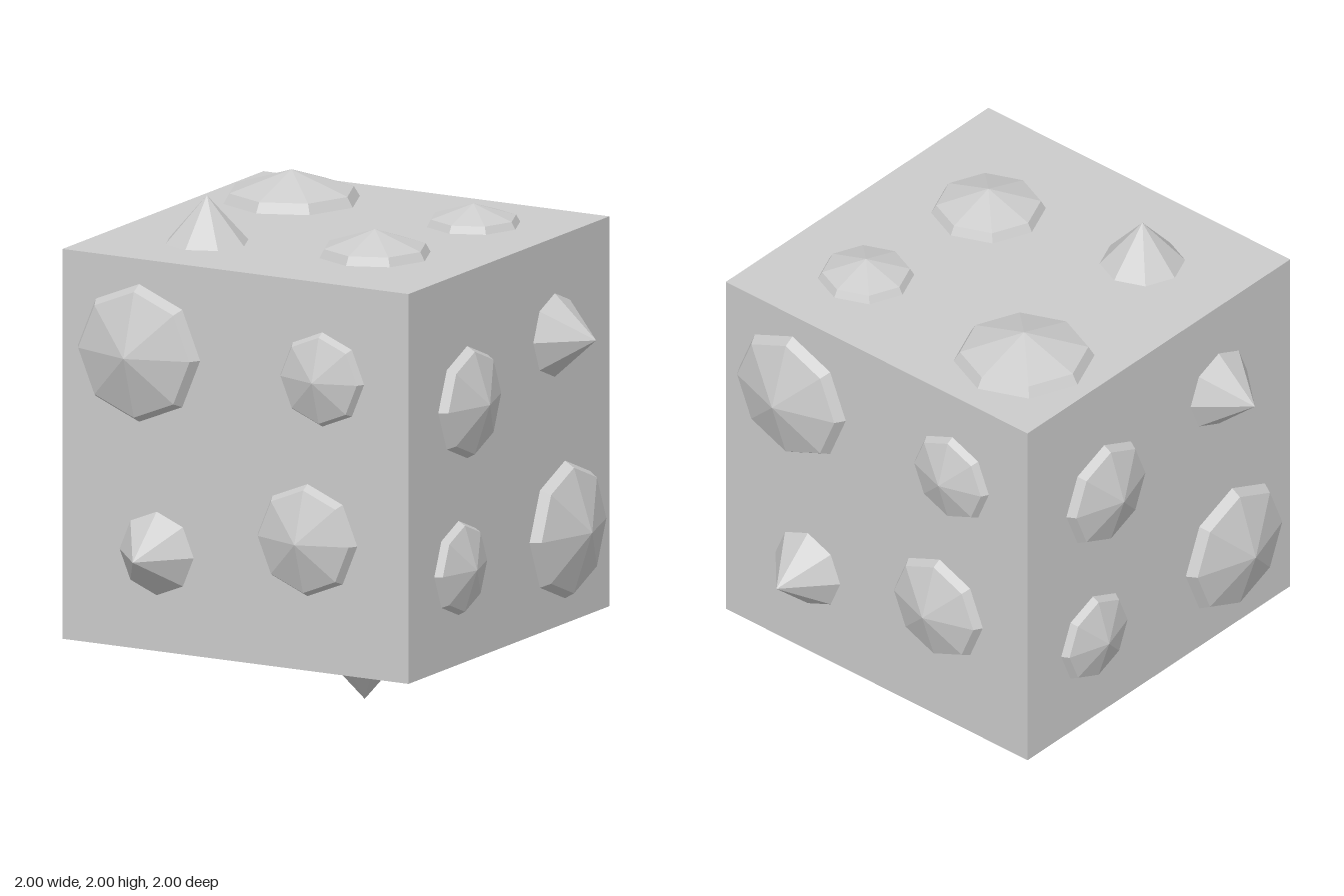
import * as THREE from 'three';

const HALF = 0.807, MID_Y = 1.003;

// Eight-sided stud, given by a (radius, height) profile, rising along +z
function studGeometry(profile) {
  const points = profile.map(([r, h]) => new THREE.Vector2(r, h));
  return new THREE.LatheGeometry(points, 8).rotateX(Math.PI / 2);
}

export function createModel() {
  const material = new THREE.MeshStandardMaterial({ color: 0xcccccc, flatShading: true });
  const model = new THREE.Group();
  model.name = 'studdedCube';

  const cube = new THREE.Mesh(new THREE.BoxGeometry(2 * HALF, 2 * HALF, 2 * HALF), material);
  cube.name = 'cubeBody';
  cube.position.y = MID_Y;
  model.add(cube);

  // Position on the face and profile of each stud
  const studs = [
    { name: 'largeStud', at: [-0.45, 0.418], profile: [[0.285, 0], [0.26, 0.042], [0, 0.127]] },
    { name: 'smallStud', at: [0.405, -0.403 + 0.81], profile: [[0.195, 0], [0.178, 0.03], [0, 0.087]] },
    { name: 'spike', at: [-0.368, -0.403], profile: [[0.173, 0], [0, 0.193]] },
    { name: 'mediumStud', at: [0.336, -0.266], profile: [[0.232, 0], [0.212, 0.036], [0, 0.107]] },
  ].map((s) => ({ ...s, geometry: studGeometry(s.profile) }));

  // Face name, right axis, up axis; the outward axis is their cross product
  const faces = [
    ['front', [1, 0, 0], [0, 1, 0]],
    ['back', [-1, 0, 0], [0, 1, 0]],
    ['left', [0, 0, 1], [0, -1, 0]],
    ['right', [0, 0, -1], [0, -1, 0]],
    ['top', [1, 0, 0], [0, 0, -1]],
    ['bottom', [-1, 0, 0], [0, 0, -1]],
  ];

  for (const [name, r, u] of faces) {
    const right = new THREE.Vector3(...r), up = new THREE.Vector3(...u);
    const out = new THREE.Vector3().crossVectors(right, up);
    const face = new THREE.Group();
    face.name = name + 'Studs';
    face.quaternion.setFromRotationMatrix(new THREE.Matrix4().makeBasis(right, up, out));
    face.position.set(0, MID_Y, 0).addScaledVector(out, HALF);
    for (const stud of studs) {
      const mesh = new THREE.Mesh(stud.geometry, material);
      mesh.name = stud.name;
      mesh.position.set(stud.at[0], stud.at[1], 0);
      face.add(mesh);
    }
    model.add(face);
  }
  return model;
}
